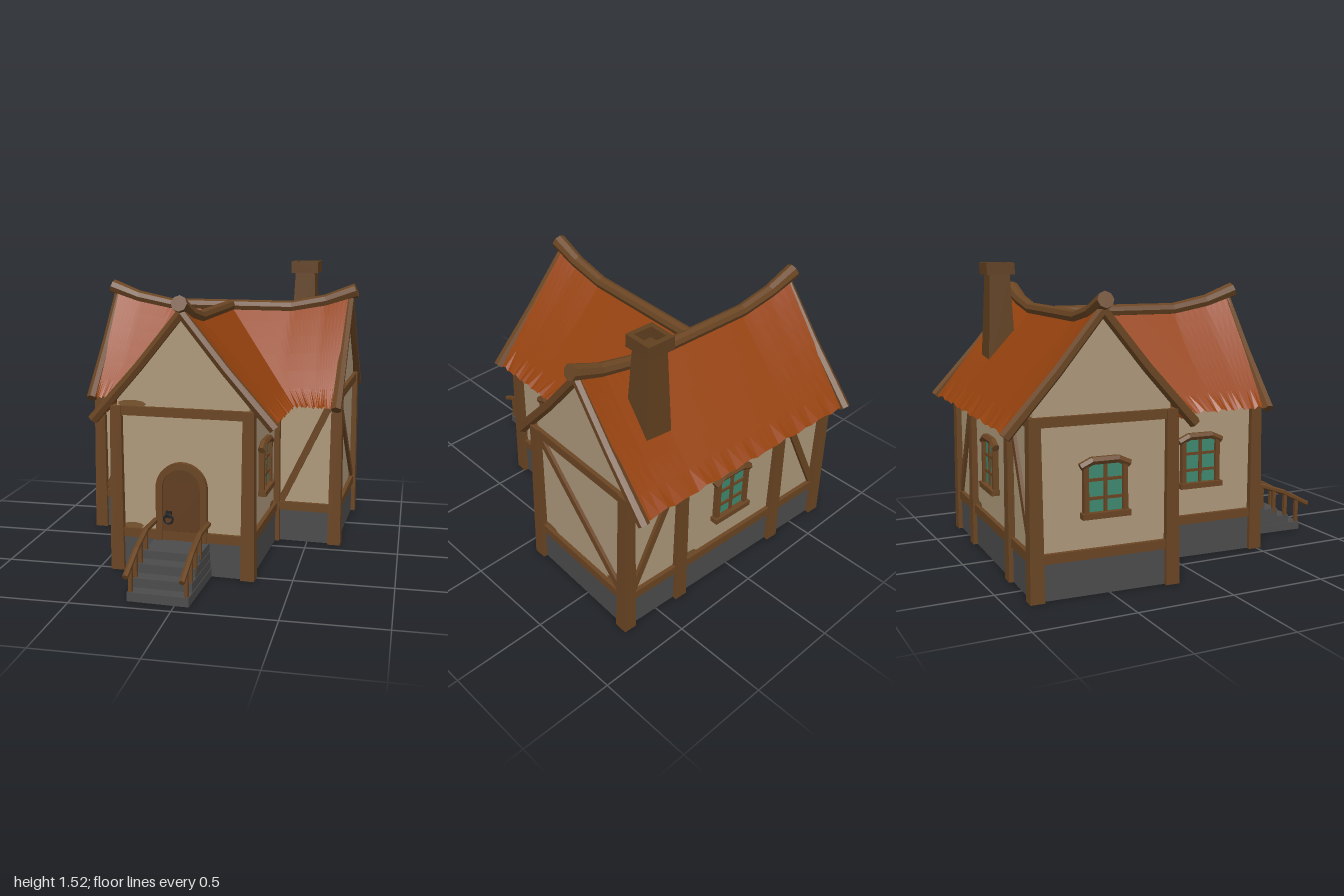
import * as THREE from 'three';
import { mergeGeometries } from 'three/addons/utils/BufferGeometryUtils.js';

const V = (x, y, z) => new THREE.Vector3(x, y, z);
const lerp = THREE.MathUtils.lerp;

export function createModel() {
  const mat = (name, color, extra = {}) => {
    const m = new THREE.MeshStandardMaterial({ color, flatShading: true, ...extra });
    m.name = name;
    return m;
  };
  const wood = mat('timber', 0x6a4523);
  const doorWood = mat('door wood', 0x603d1f);
  const chimneyBrown = mat('chimney brown', 0x61401f);
  const plaster = mat('plaster', 0xae997b, { side: THREE.DoubleSide });
  const roofTile = mat('roof tile', 0x96420e, { side: THREE.DoubleSide });
  const stone = mat('stone', 0x4c4c4c);
  const glass = mat('window glass', 0x3f8a70);
  const iron = mat('iron', 0x232323);
  const brick = mat('exposed brick', 0x79552f, { side: THREE.DoubleSide });

  const house = new THREE.Group();
  house.name = 'cottage';
  const add = (parent, name, geo, material, x = 0, y = 0, z = 0) => {
    const m = new THREE.Mesh(geo, material);
    m.name = name;
    m.position.set(x, y, z);
    parent.add(m);
    return m;
  };
  const box = (parent, name, material, w, h, d, x, y, z) =>
    add(parent, name, new THREE.BoxGeometry(w, h, d), material, x, y, z);
  // Round timber: capped segments along a polyline, one radius per point
  const log = (parent, name, pts, radii, sides = 8, material = wood) => {
    const parts = pts.slice(1).map((b, i) => {
      const a = pts[i], dir = b.clone().sub(a);
      const g = new THREE.CylinderGeometry(radii[i + 1] ?? radii[0], radii[i] ?? radii[0], dir.length() + 0.004, sides);
      g.applyQuaternion(new THREE.Quaternion().setFromUnitVectors(V(0, 1, 0), dir.normalize()));
      return g.translate(...a.clone().add(b).multiplyScalar(0.5).toArray());
    });
    return add(parent, name, mergeGeometries(parts), material);
  };
  // Square post, a little wider at the foot
  const post = (parent, x, z, top = 0.855) => {
    const g = new THREE.CylinderGeometry(0.04, 0.05, top, 4).rotateY(Math.PI / 4);
    add(parent, 'post', g, wood, x, top / 2, z);
  };
  const brace = (parent, x0, y0, x1, y1) => {
    const m = box(parent, 'brace', wood, Math.hypot(x1 - x0, y1 - y0), 0.038, 0.022, (x0 + x1) / 2, (y0 + y1) / 2, 0.006);
    m.rotation.z = Math.atan2(y1 - y0, x1 - x0);
  };

  // Window with arched lintel, sill and six panes
  const addWindow = (parent) => {
    const w = new THREE.Group();
    w.name = 'window';
    const s = new THREE.Shape();
    s.moveTo(-0.09, 0.39); s.lineTo(0.09, 0.39); s.lineTo(0.09, 0.615);
    s.quadraticCurveTo(0, 0.66, -0.09, 0.615);
    add(w, 'glass', new THREE.ShapeGeometry(s), glass, 0, 0, 0.012);
    for (const x of [-0.097, 0.097]) box(w, 'jamb', wood, 0.024, 0.24, 0.035, x, 0.505, 0.012);
    box(w, 'mullion', wood, 0.016, 0.25, 0.02, 0, 0.515, 0.012);
    for (const y of [0.463, 0.55]) box(w, 'glazing bar', wood, 0.18, 0.014, 0.018, 0, y, 0.012);
    box(w, 'sill', wood, 0.24, 0.028, 0.05, 0, 0.384, 0.018);
    log(w, 'lintel', [V(-0.12, 0.615, 0.016), V(-0.065, 0.64, 0.016), V(0.065, 0.64, 0.016), V(0.12, 0.615, 0.016)], [0.02], 6);
    parent.add(w);
  };

  // Walls run round a T-shaped plan, each seen from outside left to right
  const WX = 0.34, MX = 0.68, FZ = 0.51, MZ = -0.145, BZ = -0.825;
  const walls = [
    { name: 'wing front wall', a: [-WX, FZ], b: [WX, FZ], gable: true, patches: [[-0.26, 0.235, 0.055, 0.016], [-0.26, 0.866, 0.075, 0.02]] },
    { name: 'wing right wall', a: [WX, FZ], b: [WX, MZ], window: true, patches: [[0.22, 0.235, 0.05, 0.014]] },
    { name: 'main front right wall', a: [WX, MZ], b: [MX, MZ], braces: [[-0.13, 0.23, 0.14, 0.8]] },
    { name: 'main right wall', a: [MX, MZ], b: [MX, BZ], gable: true, braces: [[-0.32, 0.81, 0.31, 0.23]], patches: [[-0.27, 0.233, 0.06, 0.016], [-0.27, 0.8, 0.04, 0.02], [0.25, 0.24, 0.05, 0.02]] },
    { name: 'back wall', a: [MX, BZ], b: [-MX, BZ], window: true, posts: [-WX, WX], braces: [[-0.65, 0.23, -0.37, 0.81], [0.65, 0.23, 0.37, 0.81]], patches: [[-0.27, 0.235, 0.05, 0.016]] },
    { name: 'main left wall', a: [-MX, BZ], b: [-MX, MZ], gable: true, window: true },
    { name: 'main front left wall', a: [-MX, MZ], b: [-WX, MZ], braces: [[-0.13, 0.23, 0.13, 0.8]] },
    { name: 'wing left wall', a: [-WX, MZ], b: [-WX, FZ], window: true },
  ];
  for (const { name, a, b, gable, window, posts = [], braces = [], patches = [] } of walls) {
    const g = new THREE.Group();
    g.name = name;
    const dx = b[0] - a[0], dz = b[1] - a[1], len = Math.hypot(dx, dz), h = len / 2;
    g.position.set((a[0] + b[0]) / 2, 0, (a[1] + b[1]) / 2);
    g.rotation.y = Math.atan2(-dz, dx);
    const s = new THREE.Shape();
    s.moveTo(-h, 0.17); s.lineTo(h, 0.17); s.lineTo(h, 0.9);
    if (gable) s.lineTo(0, 1.31);
    s.lineTo(-h, 0.9);
    add(g, 'plaster panel', new THREE.ShapeGeometry(s), plaster);
    box(g, 'stone footing', stone, len, 0.18, 0.02, 0, 0.09, 0.002);
    box(g, 'sill beam', wood, len, 0.046, 0.036, 0, 0.2, 0.004);
    box(g, 'top beam', wood, len, 0.046, 0.036, 0, 0.832, 0.004);
    if (window) addWindow(g);
    for (const x of posts) post(g, x, 0);
    for (const p of braces) brace(g, ...p);
    for (const [x, y, w, t] of patches)
      add(g, 'brick patch', new THREE.CircleGeometry(1, 9).scale(w, t, 1), brick, x, y, 0.005);
    post(house, a[0], a[1]);
    house.add(g);
  }

  // Roof: ridge lifts toward the gables, eaves are slightly ragged
  const RZ = -0.49, HALF = 0.462, EAVE = 0.783, END = 0.69, WEND = 0.522;
  const lift = [[0, 1.275], [0.36, 1.275], [0.55, 1.312], [0.73, 1.375]];
  const ridgeY = (d) => {
    d = Math.min(Math.abs(d), 0.729);
    const i = lift.findIndex((p) => p[0] > d);
    const [p, q] = [lift[i - 1], lift[i]];
    return lerp(p[1], q[1], (d - p[0]) / (q[0] - p[0]));
  };
  const wingD = (z) => Math.max(0, z + 0.17);
  const roofPatch = (name, point, flip) => {
    const N = 28, M = 6, pos = [], idx = [];
    for (let j = 0; j <= M; j++) for (let i = 0; i <= N; i++) {
      const p = point(i / N, j / M);
      if (j === M) p.y += 0.007 * Math.sin(i * 2.3) + 0.004 * Math.sin(i * 5.1);
      pos.push(p.x, p.y, p.z);
      if (i < N && j < M) {
        const k = j * (N + 1) + i, l = k + N + 1;
        idx.push(...(flip ? [k, k + 1, l, k + 1, l + 1, l] : [k, l, k + 1, k + 1, l, l + 1]));
      }
    }
    const g = new THREE.BufferGeometry();
    g.setAttribute('position', new THREE.Float32BufferAttribute(pos, 3));
    g.setIndex(idx);
    g.computeVertexNormals();
    add(house, name, g, roofTile);
  };
  roofPatch('back roof slope', (u, t) => {
    const x = lerp(-END, END, u);
    return V(x, lerp(ridgeY(x), EAVE, t), RZ - HALF * t);
  }, true);
  for (const s of [-1, 1]) {
    roofPatch('front roof slope', (u, t) => {
      const x = s * lerp(HALF * t, END, u);
      return V(x, lerp(ridgeY(x), EAVE, t), RZ + HALF * t);
    }, s < 0);
    roofPatch('wing roof slope', (u, t) => {
      const z = lerp(RZ + HALF * t, WEND, u);
      return V(s * HALF * t, lerp(ridgeY(wingD(z)), EAVE, t), z);
    }, s > 0);
  }

  // Ridge logs and barge logs
  const ridgePts = [[-0.725, 1.373], [-0.56, 1.314], [-0.36, 1.275], [0.36, 1.275], [0.56, 1.314], [0.725, 1.373]];
  log(house, 'main ridge log', ridgePts.map(([x, y]) => V(x, y, RZ)), [0.041, 0.035, 0.033, 0.033, 0.035, 0.041]);
  log(house, 'wing ridge log', [V(0, 1.275, RZ), V(0, 1.275, 0.19), V(0, 1.314, 0.39), V(0, 1.373, 0.555)], [0.033, 0.033, 0.035, 0.041]);
  for (const s of [-1, 1]) {
    const top = 1.325;
    log(house, 'wing barge log', [V(0, top, WEND), V(s * 0.22, 1.055, WEND), V(s * 0.465, 0.778, WEND)], [0.025, 0.026, 0.029], 6);
    for (const e of [-1, 1])
      log(house, 'main barge log', [V(e * END, top, RZ), V(e * END, 1.055, RZ + s * 0.22), V(e * END, 0.778, RZ + s * 0.468)], [0.025, 0.026, 0.029], 6);
  }

  // Chimney with hollow cap
  const stack = new THREE.CylinderGeometry(0.055 * Math.SQRT2, 0.078 * Math.SQRT2, 0.52, 4).rotateY(Math.PI / 4);
  add(house, 'chimney stack', stack, chimneyBrown, 0.413, 1.21, -0.665);
  const square = (P, r) => new P([[-r, -r], [r, -r], [r, r], [-r, r]].map(([x, y]) => new THREE.Vector2(x, y)));
  const cap = square(THREE.Shape, 0.077);
  cap.holes.push(square(THREE.Path, 0.05));
  const capGeo = new THREE.ExtrudeGeometry(cap, { depth: 0.065, bevelEnabled: false }).rotateX(-Math.PI / 2);
  add(house, 'chimney cap', capGeo, chimneyBrown, 0.413, 1.46, -0.665);

  // Arched door, frame and knocker
  const door = new THREE.Group();
  door.name = 'door';
  door.position.z = FZ;
  const arch = (P, r) => {
    const p = new P();
    p.moveTo(-r, 0.17); p.lineTo(r, 0.17); p.lineTo(r, 0.45);
    p.absarc(0, 0.45, r, 0, Math.PI, false);
    p.lineTo(-r, 0.17);
    return p;
  };
  const frame = arch(THREE.Shape, 0.132);
  frame.holes.push(arch(THREE.Path, 0.098));
  add(door, 'door frame', new THREE.ExtrudeGeometry(frame, { depth: 0.03, bevelEnabled: false, curveSegments: 10 }), wood, 0, 0, 0.004);
  add(door, 'door leaf', new THREE.ExtrudeGeometry(arch(THREE.Shape, 0.1), { depth: 0.02, bevelEnabled: false, curveSegments: 10 }), doorWood);
  box(door, 'knocker plate', iron, 0.03, 0.035, 0.014, -0.066, 0.312, 0.026);
  add(door, 'knocker ring', new THREE.TorusGeometry(0.023, 0.006, 6, 14), iron, -0.066, 0.29, 0.034);
  house.add(door);

  // Steps with a handrail on each side
  const steps = [[0.045, 0.935, 0.152], [0.09, 0.865, 0.148], [0.135, 0.79, 0.145], [0.176, 0.71, 0.142]];
  for (const [y, z, hw] of steps) box(house, 'step', stone, hw * 2, y, z - FZ, 0, y / 2, (z + FZ) / 2);
  const rail = [[0.53, 0.276], [0.69, 0.274], [0.83, 0.226], [0.992, 0.142]];
  for (const s of [-1, 1]) {
    log(house, 'handrail', rail.map(([z, y]) => V(s * 0.137, y, z)), [0.015], 6);
    for (const [z, y0, y1] of [[0.92, 0.03, 0.18], [0.845, 0.07, 0.22], [0.77, 0.11, 0.247], [0.69, 0.15, 0.274]])
      box(house, 'baluster', wood, 0.018, y1 - y0, 0.02, s * 0.137, (y0 + y1) / 2, z);
  }

  // The whole cottage stands slightly turned
  house.rotation.y = -0.05;
  house.position.set(-0.035, 0, -0.002);
  const model = new THREE.Group();
  model.add(house);
  return model;
}
